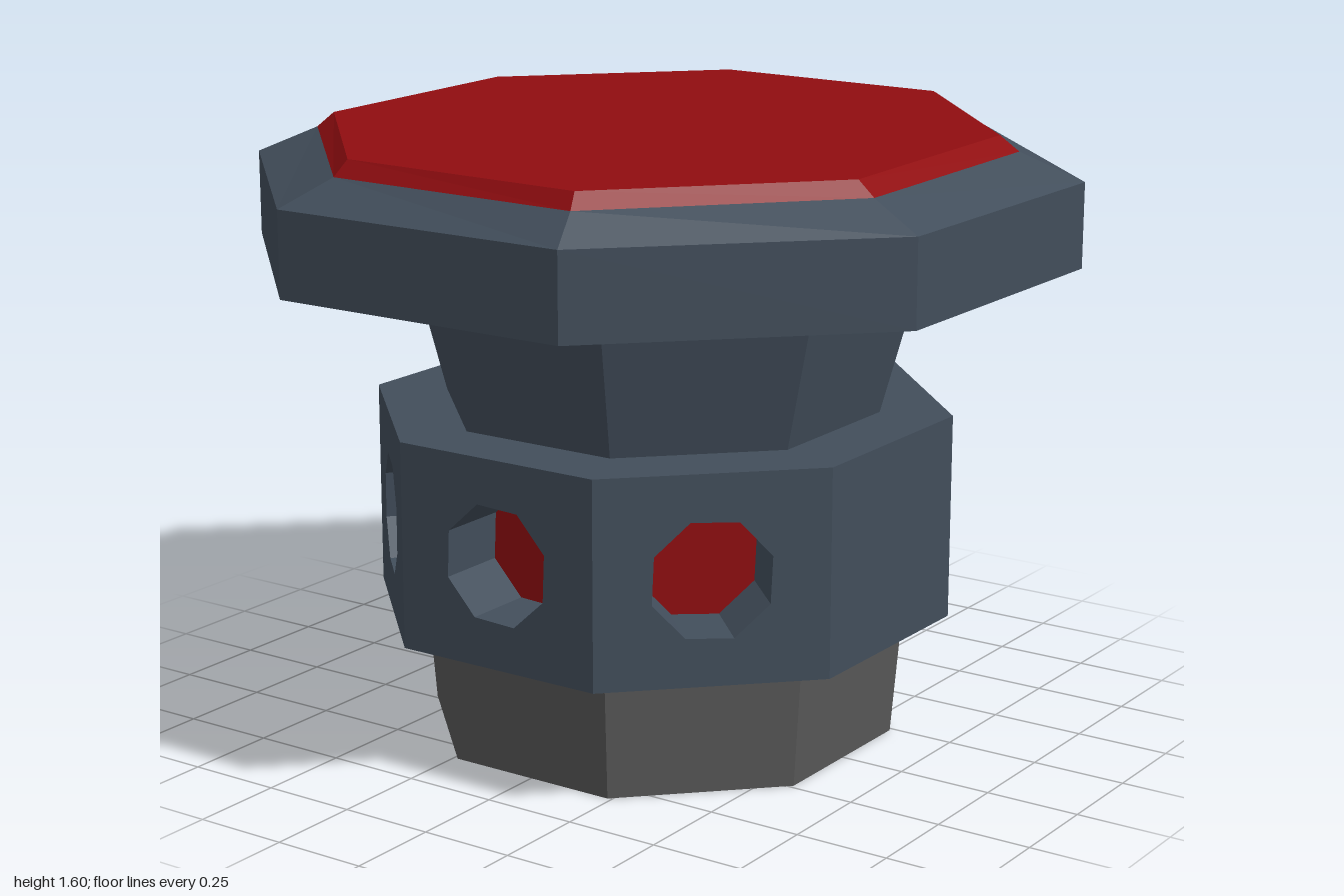
import * as THREE from 'three';

const slate = new THREE.MeshStandardMaterial({ color: 0x424e5b, flatShading: true, side: THREE.DoubleSide });
slate.name = 'slate';
const red = new THREE.MeshStandardMaterial({ color: 0x900d10, flatShading: true });
red.name = 'red';
const grey = new THREE.MeshStandardMaterial({ color: 0x595959, flatShading: true });
grey.name = 'grey';

// Regular octagon ring with flats on the axes, given by its apothem
function octagon(apothem, y) {
  const r = apothem / Math.cos(Math.PI / 8);
  return Array.from({ length: 8 }, (_, i) => {
    const a = (i + 0.5) * Math.PI / 4;
    return [r * Math.cos(a), y, r * Math.sin(a)];
  });
}

// Slightly crooked ring from x, z pairs
const ringAt = (pairs, y) => pairs.map(([x, z]) => [x, y, z]);

// Skin a stack of rings, with optional flat end caps
function loft(rings, capBottom = false, capTop = false) {
  const p = [];
  for (let k = 0; k < rings.length - 1; k++) {
    for (let i = 0; i < 8; i++) {
      const j = (i + 1) % 8;
      const a = rings[k][i], b = rings[k][j], c = rings[k + 1][j], d = rings[k + 1][i];
      p.push(...a, ...d, ...c, ...a, ...c, ...b);
    }
  }
  const top = rings[rings.length - 1], bottom = rings[0];
  for (let i = 1; i < 7; i++) {
    if (capTop) p.push(...top[0], ...top[i + 1], ...top[i]);
    if (capBottom) p.push(...bottom[0], ...bottom[i], ...bottom[i + 1]);
  }
  const g = new THREE.BufferGeometry();
  g.setAttribute('position', new THREE.Float32BufferAttribute(p, 3));
  g.computeVertexNormals();
  return g;
}

function add(parent, name, geometry, material) {
  const mesh = new THREE.Mesh(geometry, material);
  mesh.name = name;
  parent.add(mesh);
  return mesh;
}

export function createModel() {
  const model = new THREE.Group();
  model.name = 'pedestal';

  // Base plug
  add(model, 'base', loft([octagon(0.575, 0), octagon(0.6, 0.33)], true), grey);

  // Collar: top and bottom ledges, then eight wall panels
  const collar = new THREE.Group();
  collar.name = 'collar';
  model.add(collar);
  const apothem = 0.71, low = 0.33, high = 0.87, holeY = 0.6, holeR = 0.159, depth = 0.19;
  const half = apothem * Math.tan(Math.PI / 8);
  add(collar, 'collarUnderside', loft([octagon(0.58, low), octagon(apothem, low)]), slate);
  add(collar, 'collarLedge', loft([octagon(apothem, high), octagon(0.52, high)]), slate);

  const tilt = 20 * Math.PI / 180;
  const holePoints = Array.from({ length: 8 }, (_, i) => {
    const a = tilt + i * Math.PI / 4;
    return new THREE.Vector2(holeR * Math.cos(a), holeY + holeR * Math.sin(a));
  });
  for (let i = 0; i < 8; i++) {
    const side = new THREE.Group();
    side.name = 'collarSide';
    side.rotation.y = i * Math.PI / 4;
    collar.add(side);

    const hasHole = i % 4 !== 2; // the left and right sides are plain
    const wall = new THREE.Shape([
      new THREE.Vector2(-half, low), new THREE.Vector2(half, low),
      new THREE.Vector2(half, high), new THREE.Vector2(-half, high),
    ]);
    if (hasHole) wall.holes.push(new THREE.Path(holePoints));
    add(side, 'wall', new THREE.ShapeGeometry(wall), slate).position.z = apothem;
    if (!hasHole) continue;

    // Recess walls and its red floor
    const tube = new THREE.CylinderGeometry(holeR, holeR, depth, 8, 1, true);
    tube.rotateX(Math.PI / 2).rotateZ(tilt + Math.PI / 2);
    add(side, 'recess', tube, slate).position.set(0, holeY, apothem - depth / 2);
    const floor = new THREE.CircleGeometry(holeR, 8, tilt);
    add(side, 'recessFloor', floor, red).position.set(0, holeY, apothem - depth);
  }

  // Flared neck
  add(model, 'neck', loft([octagon(0.535, high), octagon(0.635, 1.27)]), slate);

  // Wide head with a bevel rising to the crooked red cap
  const capLow = ringAt([[0.865, 0.385], [0.385, 0.91], [-0.33, 0.89], [-0.85, 0.35],
    [-0.87, -0.405], [-0.385, -0.92], [0.33, -0.9], [0.845, -0.355]], 1.56);
  const capHigh = ringAt([[0.825, 0.39], [0.375, 0.88], [-0.315, 0.855], [-0.805, 0.335],
    [-0.835, -0.4], [-0.375, -0.89], [0.305, -0.87], [0.8, -0.335]], 1.6);
  add(model, 'head', loft([octagon(0.62, 1.27), octagon(1, 1.27), octagon(1, 1.49), capLow]), slate);
  add(model, 'cap', loft([capLow, capHigh], false, true), red);

  return model;
}
